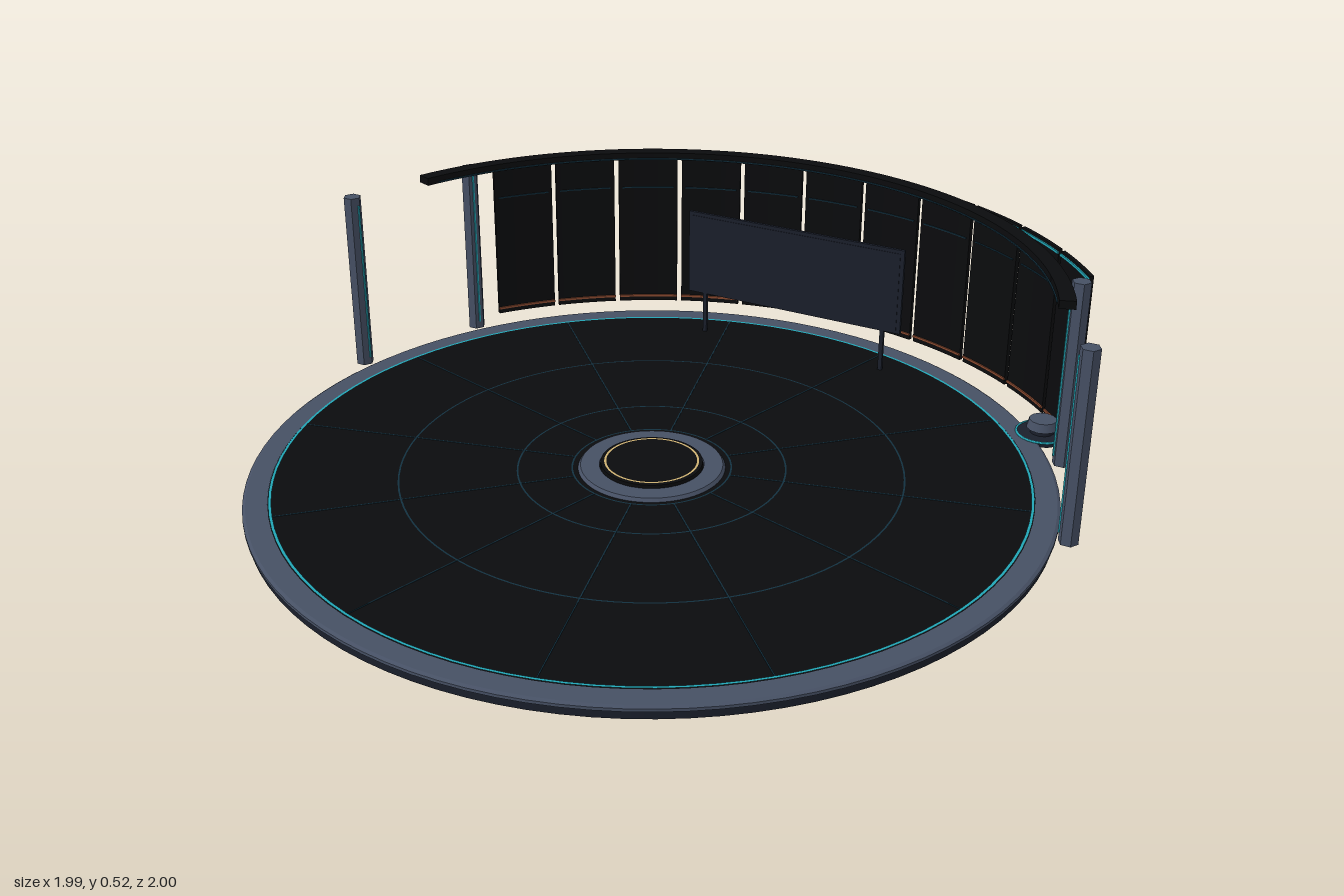
import * as THREE from 'three';

const DEG = Math.PI / 180;
const material = (color) => new THREE.MeshStandardMaterial({ color, side: THREE.DoubleSide });
const black = material(0x0a0b0d);
const dark = material(0x1a1f2b);
const steel = material(0x465064);
const teal = material(0x22a5b5);
const blue = material(0x12303f);
const orange = material(0x8a4a30);
const gold = material(0xcdb070);

function part(parent, name, geometry, mat, x = 0, y = 0, z = 0) {
  const mesh = new THREE.Mesh(geometry, mat);
  mesh.name = name;
  mesh.position.set(x, y, z);
  parent.add(mesh);
  return mesh;
}

// Curved bar about the centre; angles in degrees, 0 = back, positive = +x
function arcBar(inner, outer, from, to, height) {
  const a = (90 - to) * DEG, b = (90 - from) * DEG;
  const shape = new THREE.Shape();
  shape.absarc(0, 0, outer, a, b, false);
  shape.absarc(0, 0, inner, b, a, true);
  const curveSegments = Math.max(6, Math.ceil((to - from) / 2));
  return new THREE.ExtrudeGeometry(shape, { depth: height, bevelEnabled: false, curveSegments })
    .rotateX(-Math.PI / 2);
}

const disc = (r, h, n = 96) => new THREE.CylinderGeometry(r, r, h, n);
const flatRing = (r, w) => new THREE.RingGeometry(r - w / 2, r + w / 2, 96).rotateX(-Math.PI / 2);
const lathe = (points, n = 96) =>
  new THREE.LatheGeometry(points.map(([x, y]) => new THREE.Vector2(x, y)), n);
const polar = (r, deg) => [r * Math.sin(deg * DEG), -r * Math.cos(deg * DEG)];

function addFloor(g) {
  part(g, 'base', disc(0.952, 0.02), dark, 0, 0.01);
  part(g, 'floor', disc(0.9, 0.01), black, 0, 0.025);
  const rim = lathe([[0.9, 0.02], [0.957, 0.02], [0.957, 0.027], [0.95, 0.031], [0.9, 0.031]]).toNonIndexed();
  rim.computeVertexNormals();
  part(g, 'floorRim', rim, steel);
  part(g, 'floorRimLight', flatRing(0.895, 0.007), teal, 0, 0.0325);
  for (const r of [0.19, 0.32, 0.6]) part(g, 'floorRing', flatRing(r, 0.004), blue, 0, 0.0315);
  for (let i = 0; i < 12; i++) {
    const angle = 15 + i * 30;
    const [x, z] = polar(0.54, angle);
    part(g, 'floorSpoke', new THREE.BoxGeometry(0.003, 0.001, 0.7), blue, x, 0.031, z)
      .rotation.y = -angle * DEG;
  }
}

function addPedestal(g) {
  const collar = lathe([[0.176, 0.03], [0.17, 0.038], [0.125, 0.038], [0.125, 0.03]]).toNonIndexed();
  collar.computeVertexNormals();
  part(g, 'pedestalCollar', collar, steel);
  part(g, 'pedestalTop', disc(0.122, 0.016, 64), black, 0, 0.037);
  part(g, 'pedestalLight', flatRing(0.111, 0.005), gold, 0, 0.0465);
}

// Eleven curved panels with open seams and light strips on the inside
function addWall(g) {
  for (let i = -5; i <= 5; i++) {
    const mid = i * 10, a = mid - 4.65, b = mid + 4.65;
    part(g, 'wallPanel', arcBar(1.032, 1.042, a, b, 0.445), black, 0, 0.029);
    part(g, 'wallTopLight', arcBar(1.028, 1.032, a, b, 0.006), teal, 0, 0.462);
    part(g, 'wallLine', arcBar(1.029, 1.032, a + 0.6, b - 0.6, 0.003), blue, 0, 0.377);
    if (i !== 0) part(g, 'wallFootLight', arcBar(1.028, 1.032, a, b, 0.006), orange, 0, 0.042);
  }
}

function addPosts(g) {
  for (const side of [-1, 1]) {
    for (const angle of [59.8, 81.6]) {
      const [x, z] = polar(0.984, side * angle);
      const post = new THREE.CylinderGeometry(0.023, 0.023, 0.472, 6).toNonIndexed();
      post.computeVertexNormals();
      part(g, 'post', post, steel, x, 0.264, z).rotation.y = Math.PI / 6;
      const [lx, lz] = polar(0.962, side * angle);
      part(g, 'postLight', new THREE.BoxGeometry(0.004, 0.43, 0.004), teal, lx, 0.264, lz)
        .rotation.y = -side * angle * DEG;
    }
  }
}

function addScreen(g) {
  const z = -0.776;
  part(g, 'screenFrame', new THREE.BoxGeometry(0.632, 0.235, 0.009), dark, 0, 0.262, z);
  part(g, 'screenFace', new THREE.BoxGeometry(0.61, 0.215, 0.002), dark, 0, 0.262, z + 0.005);
  for (const x of [-0.265, 0.265])
    part(g, 'screenLeg', new THREE.BoxGeometry(0.011, 0.12, 0.009), dark, x, 0.088, z);
}

// Small round unit standing at the edge of the floor
function addConsole(g) {
  const unit = new THREE.Group();
  unit.name = 'console';
  const [x, z] = polar(0.984, 50.6);
  unit.position.set(x, 0, z);
  part(unit, 'consoleBase', disc(0.062, 0.014, 12), dark, 0, 0.027);
  part(unit, 'consoleLight', new THREE.TorusGeometry(0.063, 0.003, 6, 24).rotateX(Math.PI / 2), teal, 0, 0.033);
  part(unit, 'consoleNeck', disc(0.03, 0.02, 12), dark, 0, 0.042);
  part(unit, 'consoleHead', new THREE.CylinderGeometry(0.034, 0.04, 0.022, 12), steel, 0, 0.058);
  g.add(unit);
}

export function createModel() {
  const model = new THREE.Group();
  model.name = 'roundStage';
  const stage = new THREE.Group();
  stage.name = 'stage';
  stage.position.z = 0.042;
  model.add(stage);
  addFloor(stage);
  addPedestal(stage);
  addWall(stage);
  addPosts(stage);
  addScreen(stage);
  addConsole(stage);
  // Overhead curved rail
  part(stage, 'overheadRail', arcBar(0.907, 0.945, -70, 70, 0.02), black, 0, 0.5);
  part(stage, 'overheadRailLight', arcBar(0.904, 0.907, -68, 68, 0.003), blue, 0, 0.502);
  return model;
}
